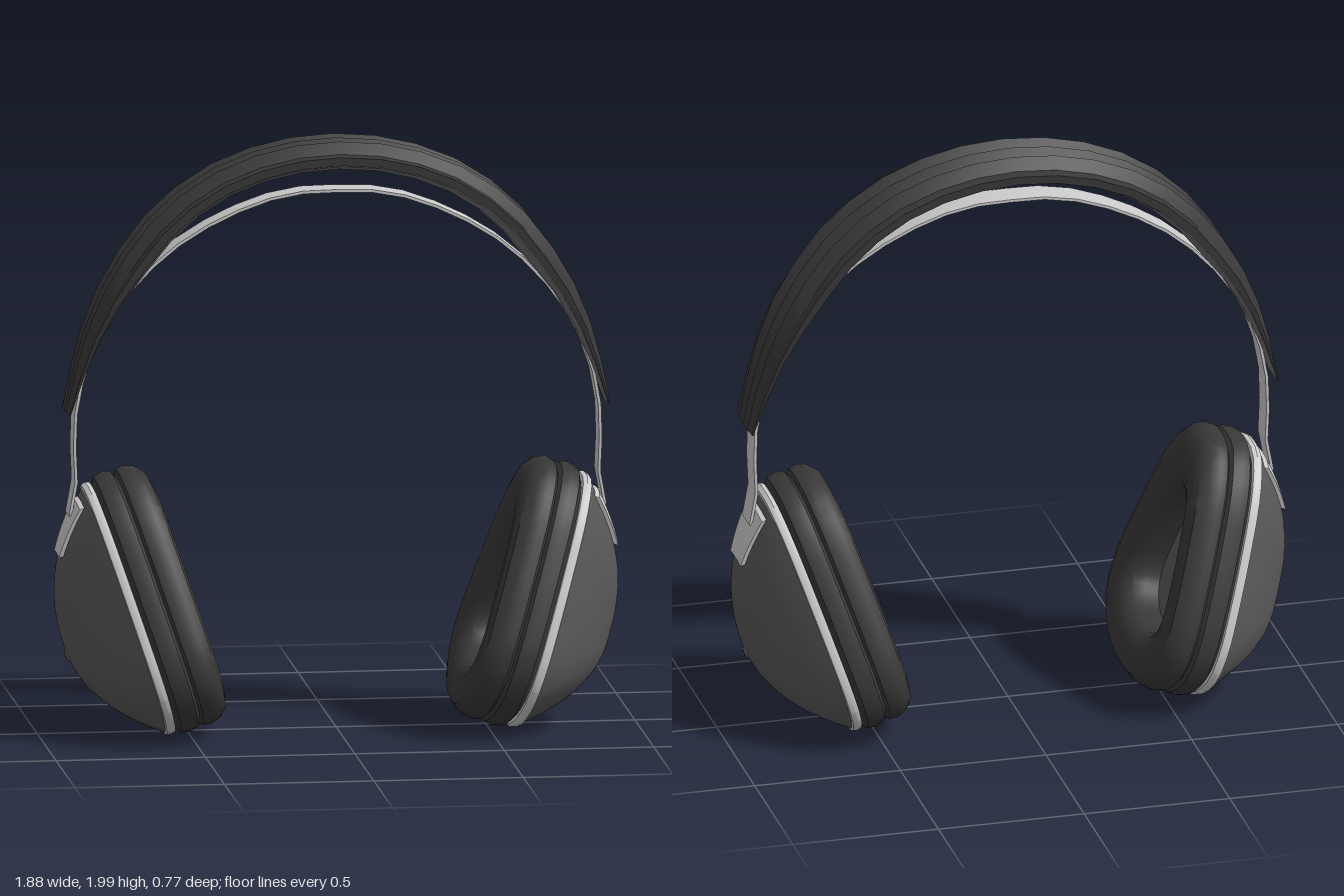
import * as THREE from 'three';
import { toCreasedNormals } from 'three/addons/utils/BufferGeometryUtils.js';

const mat = (color) => new THREE.MeshStandardMaterial({ color, side: THREE.DoubleSide });
const DARK = mat(0x383838), SHELL = mat(0x595959), PAD = mat(0x707070), METAL = mat(0xcccccc);

// Skin a grid of points: rows of equal length, optionally closed around each row.
function skin(rows, closed = true, skip = () => false, crease = 0.6) {
  const n = rows[0].length, index = [], last = closed ? n : n - 1;
  for (let i = 0; i < rows.length - 1; i++) {
    for (let j = 0; j < last; j++) {
      if (skip(i, j)) continue;
      const k = (j + 1) % n, a = i * n + j, b = i * n + k, c = a + n, d = b + n;
      if (rows[i][j].distanceTo(rows[i][k]) > 1e-6) index.push(a, b, c);
      if (rows[i + 1][j].distanceTo(rows[i + 1][k]) > 1e-6) index.push(b, d, c);
    }
  }
  const g = new THREE.BufferGeometry().setFromPoints(rows.flat());
  g.setIndex(index);
  return toCreasedNormals(g, crease);
}

function add(parent, name, geometry, material) {
  const mesh = new THREE.Mesh(geometry, material);
  mesh.name = name;
  parent.add(mesh);
  return mesh;
}

// Half arch (centre to right end) mirrored into a full path from left to right.
function arch(half) {
  const pts = half.map(([x, y]) => new THREE.Vector3(x, y, 0));
  const left = pts.slice(1).reverse().map((p) => new THREE.Vector3(-p.x, p.y, 0));
  return new THREE.CatmullRomCurve3([...left, ...pts]);
}

// Sweep a closed [z, offset] section, which may vary with height, along an arch; ends capped.
function sweep(path, segments, section) {
  const rows = [];
  for (let i = 0; i <= segments; i++) {
    const p = path.getPointAt(i / segments), t = path.getTangentAt(i / segments);
    rows.push(section(p.y).map(([z, o]) => new THREE.Vector3(p.x - t.y * o, p.y + t.x * o, z)));
  }
  const cap = (row) => {
    const c = new THREE.Vector3();
    row.forEach((p) => c.addScaledVector(p, 1 / row.length));
    return row.map(() => c);
  };
  return skin([cap(rows[0]), ...rows, cap(rows[segments])]);
}

// Egg-shaped ear cup outline, [z, height], from top to bottom.
const N = 48, MID = -0.06;
const eggHalf = [[0, 0.43], [0.1, 0.415], [0.2, 0.32], [0.29, 0.12], [0.35, -0.07],
  [0.373, -0.19], [0.352, -0.3], [0.25, -0.39], [0.1, -0.435], [0, -0.44]];
const egg = new THREE.CatmullRomCurve3(
  [...eggHalf, ...eggHalf.slice(1, -1).reverse().map(([z, y]) => [-z, y])]
    .map(([z, y]) => new THREE.Vector3(0, y, z)), true).getSpacedPoints(N).slice(0, N);

// Point on the outline scaled by s about its middle, at depth d outward.
const eggPoint = (j, s, d) => {
  const p = egg[(j + N) % N];
  return new THREE.Vector3(d, MID + (p.y - MID) * s, p.z * s);
};
const loft = (profile, skip, crease) =>
  skin(profile.map(([s, d]) => egg.map((_, j) => eggPoint(j, s, d))), true, skip, crease);

// Domed shell rows, rim to crown.
const dome = Array.from({ length: 21 }, (_, i) => {
  const s = 1 - i / 20;
  return [s * 0.985, 0.225 * (1 - s ** 2.2)];
});

// Patch over shell cells, raised or sunk by h inside its border.
function patch(i0, i1, j0, j1, h) {
  const rows = [];
  const line = (i, lift) => {
    const at = (j, l) => eggPoint(j, dome[i][0], dome[i][1] + l);
    const row = [at(j0, 0)];
    for (let j = j0; j <= j1; j++) row.push(at(j, lift));
    row.push(at(j1, 0));
    return row;
  };
  rows.push(line(i0, 0));
  for (let i = i0; i <= i1; i++) rows.push(line(i, h));
  rows.push(line(i1, 0));
  return skin(rows, false);
}

function earCup() {
  const cup = new THREE.Group();
  // Cushion with inner well, rounded face, groove and backing ring
  add(cup, 'earCushion', loft([[0.56, -0.07], [0.55, -0.14], [0.57, -0.18], [0.63, -0.205],
    [0.73, -0.22], [0.85, -0.222], [0.95, -0.212], [1.01, -0.185], [1.035, -0.15],
    [1.025, -0.125], [0.99, -0.115], [1.025, -0.105], [1.04, -0.075], [1.025, -0.045],
    [0.96, -0.028]]), DARK);
  add(cup, 'speakerCover', loft([[0, -0.09], [0.57, -0.09]]), SHELL);
  add(cup, 'rim', loft([[0.95, -0.03], [1.0, -0.028], [1.01, -0.014], [1.0, 0.002], [0.96, 0.006]]), METAL);
  // Shell with an opening at the bottom for the pocket
  const low = N / 2;
  add(cup, 'shell', loft(dome, (i, j) => i >= 1 && i < 6 && j >= low - 2 && j < low + 2, 0.9), SHELL);
  add(cup, 'bottomPocket', patch(1, 6, low - 2, low + 2, -0.035), METAL);
  add(cup, 'strapClip', patch(1, 7, -2, 2, 0.016), METAL);
  // Small port on the crown
  const port = add(cup, 'port', new THREE.TorusGeometry(0.015, 0.005, 6, 16), SHELL);
  const plug = add(cup, 'portCentre', new THREE.CircleGeometry(0.014, 16), DARK);
  for (const m of [port, plug]) {
    m.rotation.y = Math.PI / 2;
    m.position.set(0.226, -0.097, 0);
  }
  cup.position.set(0.715, 0.43, 0);
  cup.rotation.z = -0.311;
  return cup;
}

export function createModel() {
  const model = new THREE.Group();
  model.name = 'headphones';

  // Headband: ridged outer cover tapering toward its ends, with a padded underside
  const bandPath = arch([[0, 2], [0.14, 1.99], [0.29, 1.955], [0.44, 1.89], [0.59, 1.78],
    [0.7, 1.65], [0.79, 1.5], [0.86, 1.32], [0.91, 1.1]]);
  const width = (y) => 0.1 + 0.055 * THREE.MathUtils.clamp((y - 1.1) / 0.4, 0, 1);
  const depth = (y) => 0.15 + 0.85 * THREE.MathUtils.clamp((y - 1.1) / 0.55, 0, 1);
  const scaled = (section) => (y) => section.map(([z, o]) => [z * width(y), o * depth(y)]);
  add(model, 'headbandCover', sweep(bandPath, 20, scaled([[-1, -0.04], [-0.75, -0.036],
    [-0.5, 0], [-0.25, -0.032], [0, 0], [0.25, -0.032], [0.5, 0], [0.75, -0.036], [1, -0.04],
    [1, -0.068], [-1, -0.068]])), DARK);
  add(model, 'headbandPad', sweep(bandPath, 20, scaled([[-0.94, -0.06], [0.94, -0.06],
    [0.94, -0.072], [0.6, -0.09], [0, -0.098], [-0.6, -0.09], [-0.94, -0.072]])), PAD);

  // Thin metal strap under the headband, running down to both cups
  const strapPath = arch([[0, 1.828], [0.17, 1.818], [0.36, 1.755], [0.55, 1.645], [0.7, 1.5],
    [0.81, 1.33], [0.868, 1.15], [0.88, 1.0], [0.875, 0.86], [0.895, 0.75]]);
  add(model, 'strap', sweep(strapPath, 28,
    () => [[-0.048, 0.005], [0.048, 0.005], [0.048, -0.005], [-0.048, -0.005]]), METAL);

  // Ear cups, the right one turned half round
  for (const [name, turn] of [['leftEarCup', 0], ['rightEarCup', Math.PI]]) {
    const side = new THREE.Group();
    side.name = name;
    side.rotation.y = turn;
    side.add(earCup());
    model.add(side);
  }
  return model;
}
